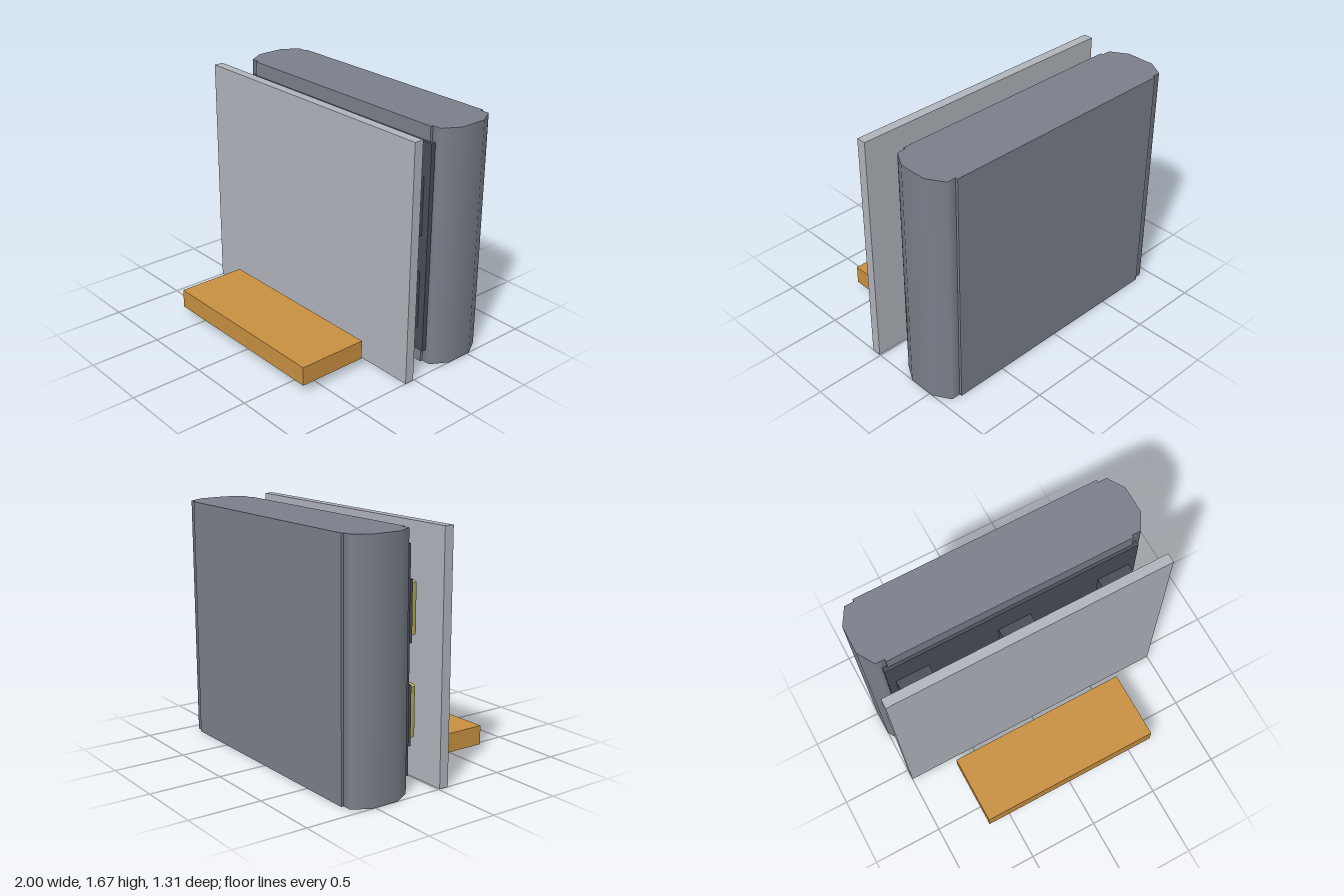
import * as THREE from 'three';

export function createModel() {
  const model = new THREE.Group();
  model.name = 'wallPanelAssembly';

  const material = (name, color) => {
    const m = new THREE.MeshStandardMaterial({ color });
    m.name = name;
    return m;
  };
  const slate = material('slate grey', 0x7a7f8a);
  const darkGrey = material('dark grey', 0x4a4d58);
  const paleGrey = material('pale grey', 0xb0b5bc);
  const amber = material('amber', 0xc89040);
  const yellow = material('dull yellow', 0xc8bc5c);

  const H = 1.667;
  const add = (name, geometry, mat, x, y, z) => {
    const mesh = new THREE.Mesh(geometry, mat);
    mesh.name = name;
    mesh.position.set(x, y, z);
    model.add(mesh);
    return mesh;
  };
  // Box given by its centre x, y range and z range
  const box = (name, mat, width, x, y0, y1, z0, z1) =>
    add(name, new THREE.BoxGeometry(width, y1 - y0, z1 - z0), mat, x, (y0 + y1) / 2, (z0 + z1) / 2);

  // Thick rear slab
  box('rearSlab', slate, 1.733, 0, 0, H, -0.657, -0.19);

  // Eight-sided rounded ends, flattened in x
  for (const side of [1, -1]) {
    const end = new THREE.CylinderGeometry(1, 1, H, 8);
    end.rotateY(Math.PI / 8);
    end.scale(0.129, 1, 0.233);
    const p = end.attributes.position;
    for (let i = 0; i < p.count; i++) {
      const z = p.getZ(i);
      // widen the outer flat a little
      if (Math.abs(z) > 0.05 && Math.abs(z) < 0.15) p.setZ(i, Math.sign(z) * 0.098);
    }
    add(side > 0 ? 'leftRoundedEnd' : 'rightRoundedEnd', end, slate, side * 0.881, H / 2, -0.424);
  }

  // Backing plate on the front of the slab
  box('backingPlate', darkGrey, 1.8, 0, 0.1, 1.567, -0.203, -0.169);

  // Two rows of three mounts, each holding an eight-sided roller
  for (const y of [0.468, 1.135]) {
    for (const x of [-0.733, 0, 0.733]) {
      box('mount', darkGrey, 0.233, x, y - 0.2, y + 0.2, -0.169, -0.109);
      add('roller', new THREE.CylinderGeometry(0.083, 0.083, 0.333, 8), x === 0 ? amber : yellow, x, y, -0.091);
    }
  }

  // Thin front panel and the ledge before it
  box('frontPanel', paleGrey, 2, 0, 0, H, 0.009, 0.076);
  box('ledge', amber, 1.333, 0, 0.067, 0.2, 0.157, 0.657);

  return model;
}
